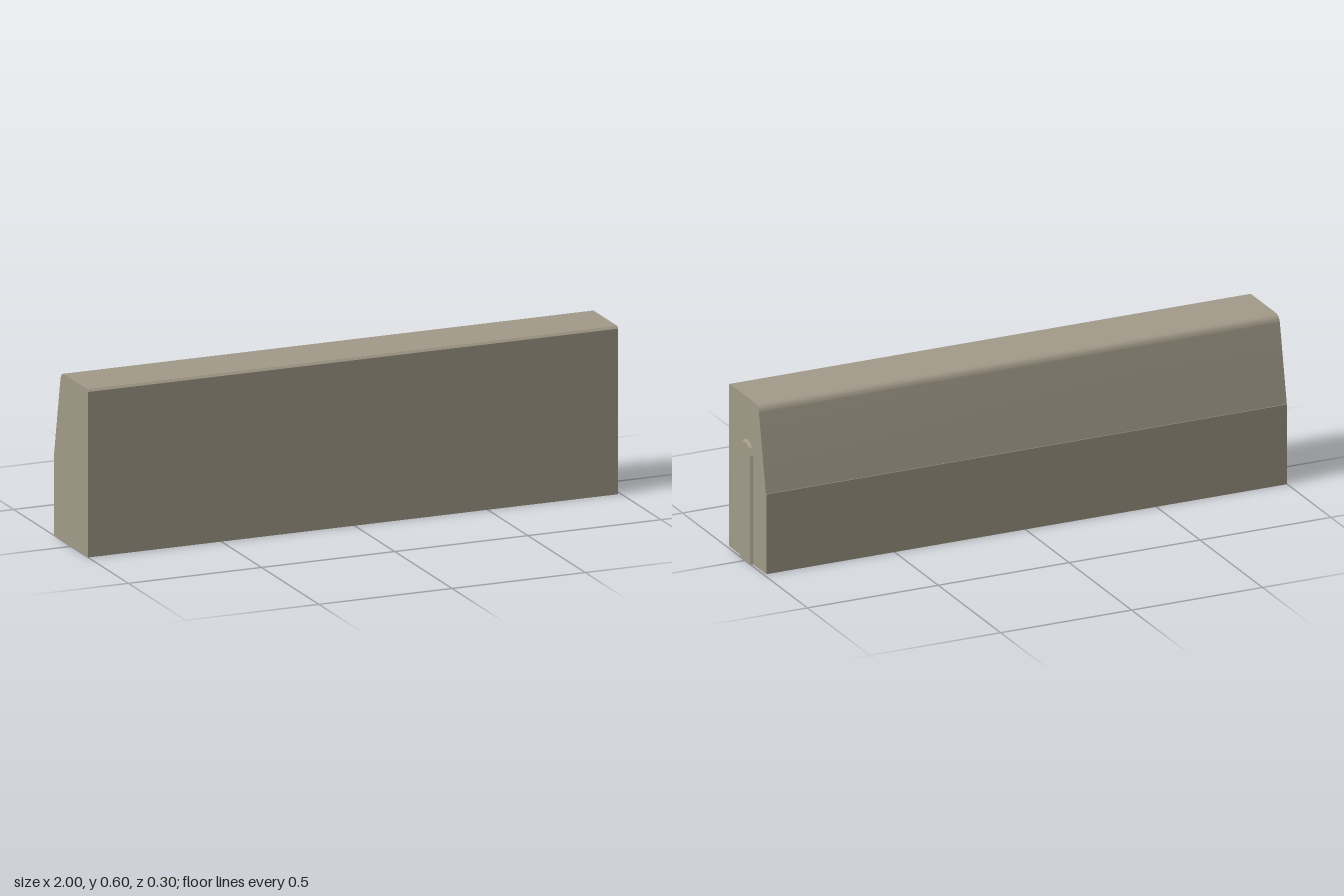
import * as THREE from 'three';
import { toCreasedNormals } from 'three/addons/utils/BufferGeometryUtils.js';

const END = 0.99; // x of the body's jointed end

// Kerb cross-section (shape x = -z), swept along the length
function bodyGeometry() {
  const s = new THREE.Shape();
  s.moveTo(-0.15, 0);
  s.lineTo(0.15, 0);
  s.lineTo(0.15, 0.295);
  s.lineTo(0.147, 0.295);
  s.lineTo(0.092, 0.575);
  s.quadraticCurveTo(0.0867, 0.602, 0.06, 0.602);
  s.lineTo(-0.142, 0.602);
  s.lineTo(-0.15, 0.594);
  s.closePath();
  const g = new THREE.ExtrudeGeometry(s, { depth: END + 1, bevelEnabled: false, curveSegments: 10 });
  g.rotateY(Math.PI / 2).translate(-1, 0, 0);
  return toCreasedNormals(g, 0.35);
}

// Arched joint tongue: outer outline on the body, smaller outline on its face
function tongueGeometry() {
  const arch = (half) => [...half.map(([z, y]) => [-z, y]), ...half.slice().reverse()];
  const outer = arch([[0.046, 0], [0.046, 0.4], [0.037, 0.428], [0.016, 0.445]]);
  const inner = arch([[0.04, 0], [0.04, 0.4], [0.03, 0.428], [0.008, 0.439]]);
  const pos = [];
  const n = outer.length;
  const o = (i) => [END, outer[i][1], outer[i][0]];
  const f = (i) => [1, inner[i][1], inner[i][0]];
  const quad = (a, b, c, d) => pos.push(...a, ...b, ...c, ...a, ...c, ...d);
  for (let i = 0; i < n - 1; i++) quad(o(i), o(i + 1), f(i + 1), f(i)); // bevelled rim
  for (let i = 1; i < n - 1; i++) pos.push(...f(0), ...f(i), ...f(i + 1)); // flat face
  quad(o(0), f(0), f(n - 1), o(n - 1)); // underside
  const g = new THREE.BufferGeometry();
  g.setAttribute('position', new THREE.Float32BufferAttribute(pos, 3));
  g.computeVertexNormals();
  return g;
}

export function createModel() {
  const concrete = new THREE.MeshStandardMaterial({ color: 0xa39b8a });
  concrete.name = 'concrete';
  const group = new THREE.Group();
  group.name = 'kerbStone';
  const add = (name, geometry) => {
    const mesh = new THREE.Mesh(geometry, concrete);
    mesh.name = name;
    group.add(mesh);
  };
  add('kerbBody', bodyGeometry());
  add('jointTongue', tongueGeometry());
  return group;
}
